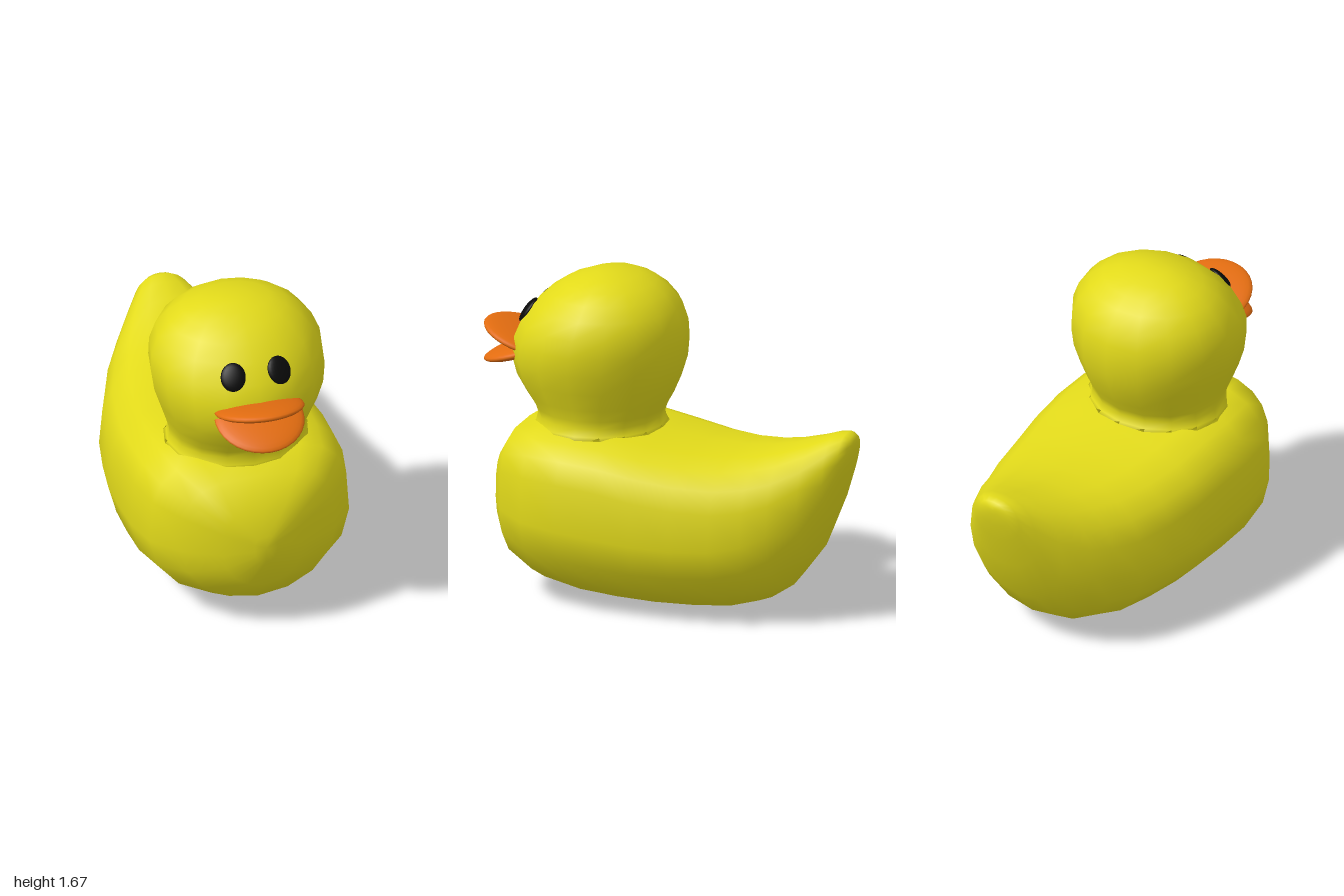
import * as THREE from 'three';

const yellow = new THREE.MeshStandardMaterial({ color: 0xe2da1a });
const orange = new THREE.MeshStandardMaterial({ color: 0xe26c10 });
const black = new THREE.MeshStandardMaterial({ color: 0x0a0a0a });

// Smooth skin over closed rings of [x, y, z] points, capped at both ends
function loft(rings) {
  const n = rings[0].length, pos = rings.flat(2), idx = [];
  for (let i = 0; i < rings.length - 1; i++) {
    for (let j = 0; j < n; j++) {
      const k = (j + 1) % n, a = i * n, b = a + n;
      idx.push(a + j, a + k, b + k, a + j, b + k, b + j);
    }
  }
  [0, rings.length - 1].forEach((r, end) => {
    const c = pos.length / 3;
    for (let axis = 0; axis < 3; axis++) {
      pos.push(rings[r].reduce((sum, p) => sum + p[axis], 0) / n);
    }
    for (let j = 0; j < n; j++) {
      const a = r * n + j, b = r * n + (j + 1) % n;
      if (end) idx.push(c, a, b);
      else idx.push(c, b, a);
    }
  });
  const g = new THREE.BufferGeometry();
  g.setAttribute('position', new THREE.Float32BufferAttribute(pos, 3));
  g.setIndex(idx);
  g.computeVertexNormals();
  return g;
}

// Body section: round below, squarer above
function bodyRing([z, bottom, top, half]) {
  const mid = bottom + (top - bottom) * 0.47;
  const power = 2 / THREE.MathUtils.mapLinear(THREE.MathUtils.clamp(z, -1, 0.2), -1, 0.2, 2.2, 3.4);
  const ring = [];
  for (let i = 0; i < 18; i++) {
    const lower = i <= 4 || i >= 14;
    const a = lower ? (i > 4 ? i - 18 : i) * Math.PI / 8 : Math.PI / 2 + (i - 4) * Math.PI / 10;
    const s = Math.sin(a), c = -Math.cos(a);
    if (lower) ring.push([half * s, mid + (mid - bottom) * c, z]);
    else ring.push([half * Math.sign(s) * Math.abs(s) ** power, mid + (top - mid) * Math.max(c, 0) ** power, z]);
  }
  return ring;
}

// Head section: horizontal ellipse between its back and front
function headRing([y, back, front, half]) {
  return Array.from({ length: 16 }, (_, i) => {
    const a = i * Math.PI / 8;
    return [half * Math.sin(a), y, (front + back) / 2 + (front - back) / 2 * Math.cos(a)];
  });
}

export function createModel() {
  const duck = new THREE.Group();
  duck.name = 'duck';
  const add = (name, geometry, material) => {
    const mesh = new THREE.Mesh(geometry, material);
    mesh.name = name;
    duck.add(mesh);
    return mesh;
  };

  // Body from tail tip to breast: z, bottom, top, half width
  add('body', loft([
    [-1.0, 0.89, 0.935, 0.03], [-0.99, 0.82, 0.958, 0.09], [-0.96, 0.72, 0.97, 0.14],
    [-0.9, 0.54, 0.96, 0.2], [-0.8, 0.31, 0.925, 0.29], [-0.67, 0.14, 0.885, 0.38],
    [-0.55, 0.06, 0.86, 0.43], [-0.4, 0.02, 0.845, 0.49], [-0.2, 0.005, 0.85, 0.53],
    [0, 0, 0.875, 0.56], [0.2, 0.005, 0.905, 0.565], [0.4, 0.02, 0.92, 0.56],
    [0.6, 0.06, 0.915, 0.52], [0.76, 0.14, 0.86, 0.4], [0.86, 0.27, 0.72, 0.21],
    [0.9, 0.43, 0.58, 0.06],
  ].map(bodyRing)), yellow);

  // Neck and head, going up: y, back, front, half width
  add('head', loft([
    [0.85, 0.01, 0.71, 0.39], [0.89, 0.05, 0.695, 0.36], [0.93, 0.06, 0.685, 0.35],
    [0.97, 0.045, 0.7, 0.352], [1.03, 0.01, 0.745, 0.37], [1.12, -0.03, 0.8, 0.4],
    [1.22, -0.06, 0.825, 0.432], [1.32, -0.067, 0.81, 0.445], [1.41, -0.06, 0.77, 0.438],
    [1.5, -0.03, 0.7, 0.4], [1.57, 0.03, 0.625, 0.34], [1.62, 0.095, 0.55, 0.27],
    [1.655, 0.18, 0.46, 0.185], [1.672, 0.27, 0.39, 0.08],
  ].map(headRing)), yellow);

  // Open beak
  for (const [name, side] of [['upperBeak', 1], ['lowerBeak', -1]]) {
    const lip = add(name, new THREE.SphereGeometry(1, 32, 16), orange);
    lip.scale.set(0.228, 0.04, 0.228);
    lip.position.set(0, 1.25 + side * 0.028, 0.775);
    lip.rotation.x = -side * 0.32;
  }

  // Flat oval eyes lying on the head
  for (const [name, side] of [['leftEye', 1], ['rightEye', -1]]) {
    const eye = add(name, new THREE.SphereGeometry(1, 24, 12), black);
    eye.scale.set(0.063, 0.073, 0.022);
    eye.position.set(side * 0.12, 1.45, 0.72);
    eye.rotation.set(-0.62, side * 0.28, 0, 'YXZ');
  }
  return duck;
}
